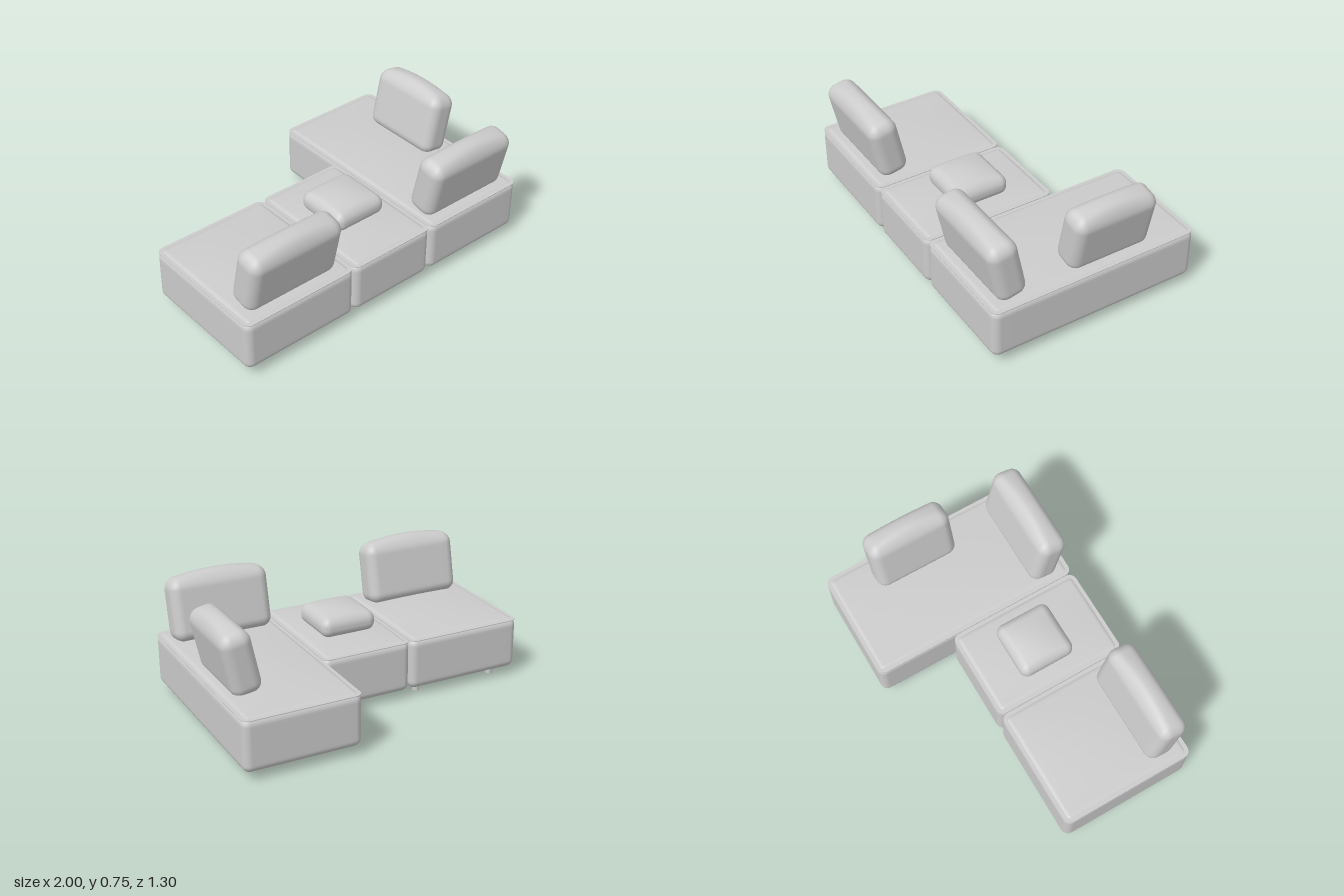
import * as THREE from 'three';
import { mergeVertices } from 'three/addons/utils/BufferGeometryUtils.js';

const material = new THREE.MeshStandardMaterial({ color: 0xcccccc });

// Rounded block standing on y = 0, with its top swelling by `dome`
function paddedBlock(w, h, d, r, dome) {
  const n = 24, k = 5;
  const geo = new THREE.BoxGeometry(1, 1, 1, n, n, n);
  geo.deleteAttribute('uv');
  geo.deleteAttribute('normal');
  const pos = geo.attributes.position;
  const inner = new THREE.Vector3(), dir = new THREE.Vector3();
  const half = { x: w / 2, y: h / 2, z: d / 2 };
  for (let i = 0; i < pos.count; i++) {
    for (const [j, a] of ['x', 'y', 'z'].entries()) {
      const c = Math.round(pos.array[i * 3 + j] * n); // -n/2 .. n/2
      const flat = n / 2 - k;
      const over = Math.max(Math.abs(c) - flat, 0) / k;
      inner[a] = THREE.MathUtils.clamp(c / flat, -1, 1) * (half[a] - r);
      dir[a] = Math.sign(c) * Math.tan(over * Math.PI / 4);
    }
    const p = dir.normalize().multiplyScalar(r).add(inner);
    const swell = (1 - (p.x / half.x) ** 2) * (1 - (p.z / half.z) ** 2);
    const lift = Math.max(p.y / half.y, 0) * dome * swell;
    pos.setXYZ(i, p.x, p.y + half.y + lift, p.z);
  }
  const out = mergeVertices(geo, 1e-5);
  out.computeVertexNormals();
  return out;
}

// Thin rounded rectangle lying flat, used as the seam around a seat
function seamPlate(w, d, r, t) {
  const x = w / 2, y = d / 2;
  const s = new THREE.Shape();
  s.moveTo(-x + r, -y);
  s.absarc(x - r, -y + r, r, -Math.PI / 2, 0);
  s.absarc(x - r, y - r, r, 0, Math.PI / 2);
  s.absarc(-x + r, y - r, r, Math.PI / 2, Math.PI);
  s.absarc(-x + r, -y + r, r, Math.PI, Math.PI * 1.5);
  const geo = new THREE.ExtrudeGeometry(s, { depth: t, bevelEnabled: false, curveSegments: 8 });
  return geo.rotateX(-Math.PI / 2);
}

function add(parent, name, geo, x, y, z) {
  const mesh = new THREE.Mesh(geo, material);
  mesh.name = name;
  mesh.position.set(x, y, z);
  parent.add(mesh);
  return mesh;
}

export function createModel() {
  const sofa = new THREE.Group();
  sofa.name = 'modularSofa';

  // Seat modules: x range and z range
  const seats = [
    ['rightSeat', -1, -0.265, -0.175, 0.65],
    ['middleSeat', -0.26, 0.3, -0.175, 0.65],
    ['leftChaise', 0.305, 1, -0.65, 0.65],
  ];
  for (const [name, x0, x1, z0, z1] of seats) {
    const seat = new THREE.Group();
    seat.name = name;
    seat.position.set((x0 + x1) / 2, 0, (z0 + z1) / 2);
    add(seat, name + 'Base', paddedBlock(x1 - x0, 0.317, z1 - z0, 0.045, 0.018), 0, 0.048, 0);
    add(seat, name + 'Seam', seamPlate(x1 - x0, z1 - z0, 0.045, 0.005), 0, 0.355, 0);
    sofa.add(seat);
  }

  // Short round legs, shared between neighbouring modules
  const legGeo = new THREE.CylinderGeometry(0.021, 0.021, 0.055, 20);
  const legs = [
    [-0.87, 0.57], [-0.87, -0.085], [-0.35, -0.085], [0.215, 0.57],
    [0.87, 0.57], [0.87, -0.52], [0.39, -0.52],
  ];
  for (const [x, z] of legs) add(sofa, 'leg', legGeo, x, 0.0275, z);

  // Leaning cushions: width, position, yaw
  const cushions = [
    ['rightBackCushion', 0.605, -0.628, 0.482, 0],
    ['leftBackCushion', 0.605, 0.648, 0.482, 0],
    ['armCushion', 0.52, 0.838, -0.13, Math.PI / 2],
  ];
  for (const [name, width, x, z, yaw] of cushions) {
    const holder = new THREE.Group();
    holder.name = name;
    holder.position.set(x, 0.355, z);
    holder.rotation.y = yaw;
    add(holder, name + 'Pad', paddedBlock(width, 0.365, 0.18, 0.06, 0.035), 0, 0, 0).rotation.x = 0.21;
    sofa.add(holder);
  }

  // Loose square cushion on the middle seat
  add(sofa, 'seatCushion', paddedBlock(0.345, 0.115, 0.345, 0.05, 0.028), 0.018, 0.376, 0.217);

  return sofa;
}
